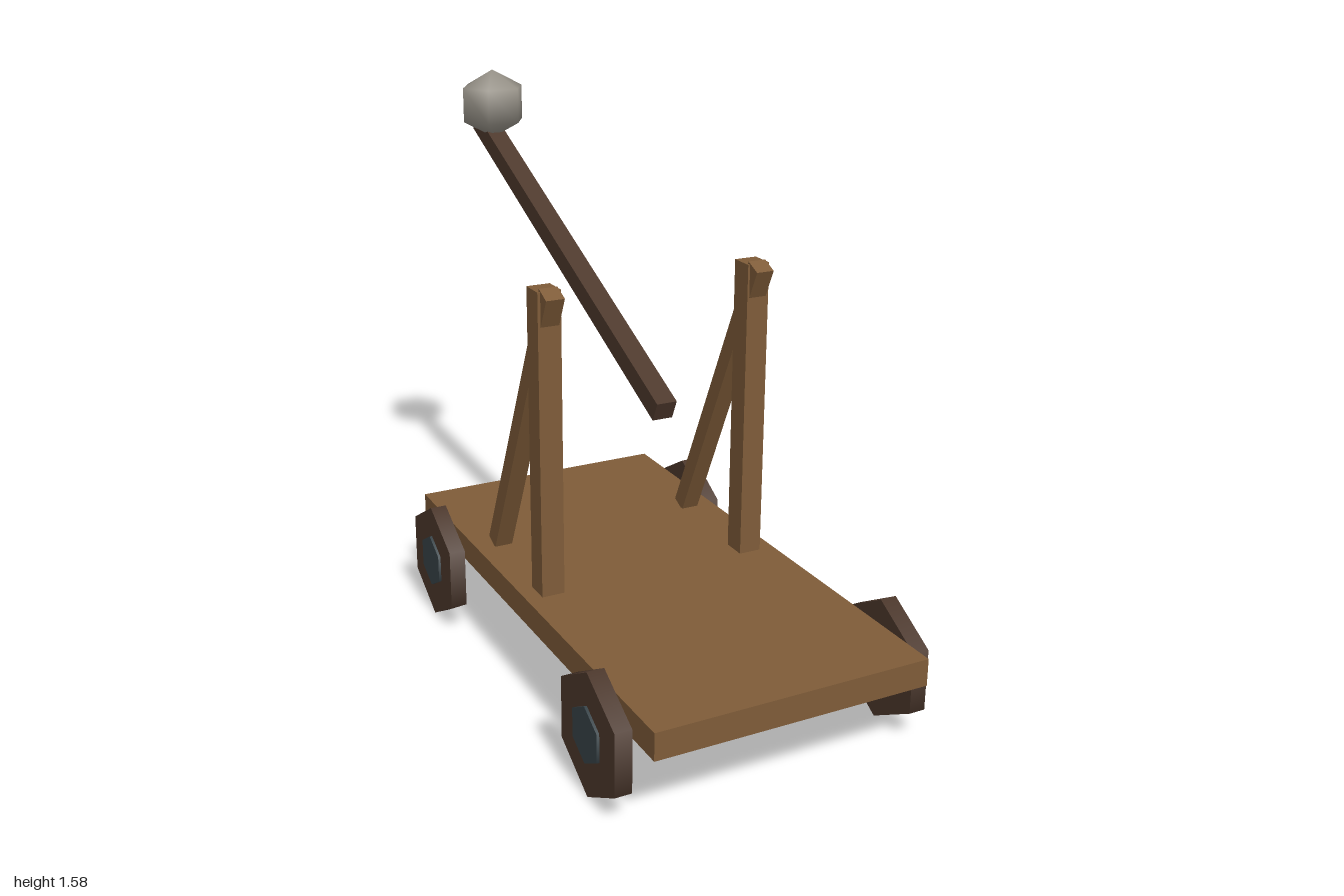
import * as THREE from 'three';

const paint = (name, color) => {
  const m = new THREE.MeshStandardMaterial({ color });
  m.name = name;
  return m;
};

export function createModel() {
  const wood = paint('wood', 0x7f5c39);
  const darkWood = paint('dark wood', 0x4e392d);
  const iron = paint('iron', 0x39454a);
  const stone = paint('stone', 0x99948a);

  const model = new THREE.Group();
  model.name = 'catapult';

  const add = (name, geometry, material, x, y, z, tilt = 0) => {
    const mesh = new THREE.Mesh(geometry, material);
    mesh.name = name;
    mesh.position.set(x, y, z);
    mesh.rotation.x = tilt;
    model.add(mesh);
    return mesh;
  };

  // hexagonal disc lying along x, with a corner pointing up
  const hexDisc = (r, width) =>
    new THREE.CylinderGeometry(r, r, width, 6, 1, false, Math.PI / 2).rotateZ(Math.PI / 2);

  const tilt = THREE.MathUtils.degToRad(25);

  // flat deck
  add('deck', new THREE.BoxGeometry(0.79, 0.077, 1.58), wood, 0, 0.258, 0.21);

  // uprights, slanted braces and wheels on both sides
  const postGeo = new THREE.BoxGeometry(0.067, 0.88, 0.071);
  const braceGeo = new THREE.BoxGeometry(0.053, 0.952, 0.051);
  const wheelGeo = hexDisc(0.177, 0.048);
  const hubGeo = hexDisc(0.081, 0.061);
  for (const [side, s] of [['left', 1], ['right', -1]]) {
    add(side + 'Post', postGeo, wood, s * 0.316, 0.729, 0.213);
    add(side + 'Brace', braceGeo, wood, s * 0.315, 0.734, 0.062, tilt);
    for (const [end, z] of [['Front', 0.765], ['Rear', -0.342]]) {
      add(side + end + 'Wheel', wheelGeo, darkWood, s * 0.435, 0.177, z);
      add(side + end + 'Hub', hubGeo, iron, s * 0.436, 0.18, z);
    }
  }

  // throwing arm and its stone
  add('throwingArm', new THREE.BoxGeometry(0.06, 0.06, 1.418), darkWood, 0, 1.104, -0.344, tilt);
  const ball = add('stoneBall', new THREE.SphereGeometry(0.117, 6, 3), stone, 0, 1.471, -0.897);
  ball.scale.y = 0.925;

  return model;
}
